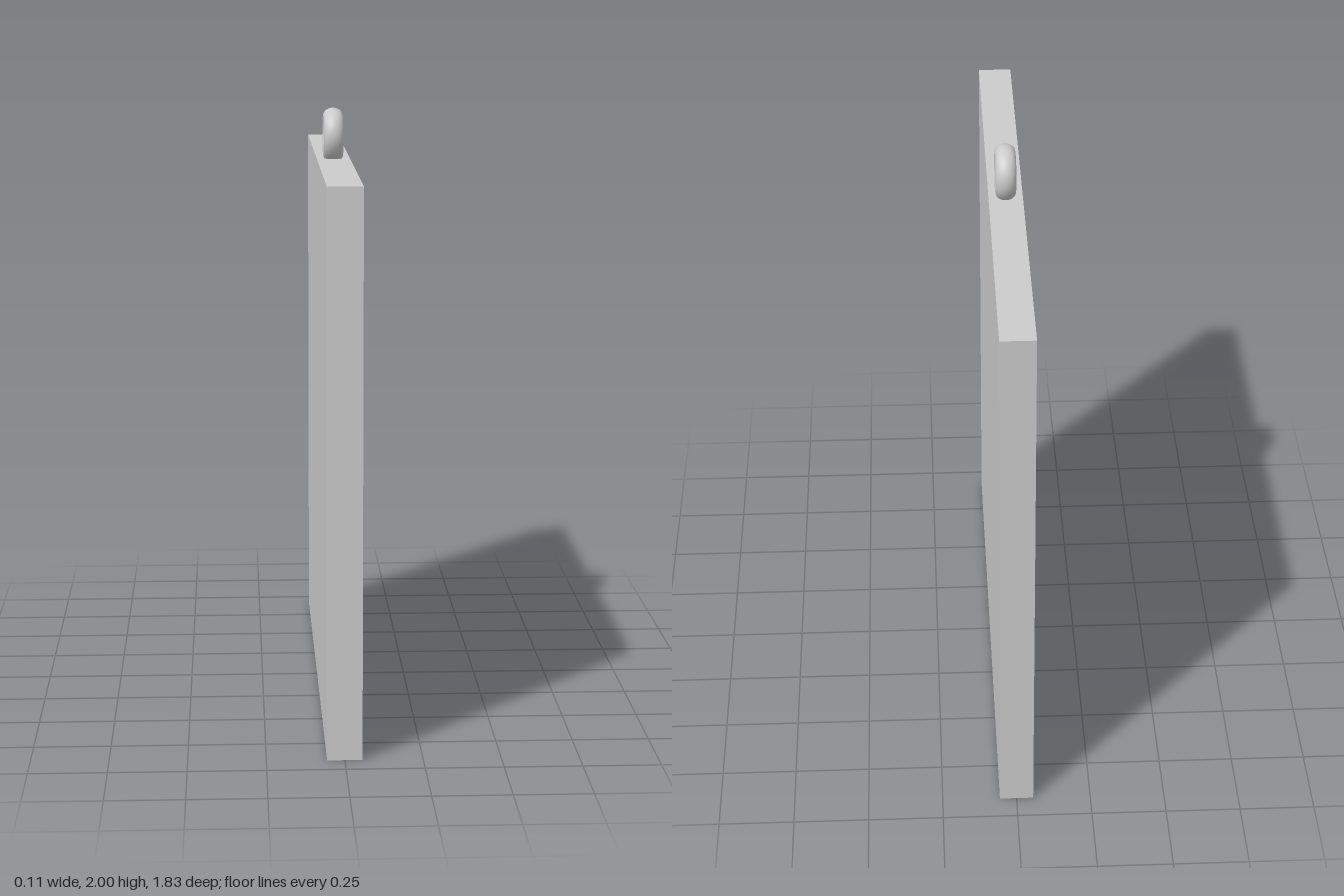
import * as THREE from 'three';

export function createModel() {
  const group = new THREE.Group();
  const material = new THREE.MeshStandardMaterial({ color: 0xcccccc });

  // Flat square slab, thin along x
  const thickness = 0.113, side = 1.83;
  const panel = new THREE.Mesh(new THREE.BoxGeometry(thickness, side, side), material);
  panel.name = 'panel';
  panel.position.y = side / 2;
  group.add(panel);

  // Hanging ring, slightly sunk into the top edge, its hole running along x
  const ringRadius = 0.066, tubeRadius = 0.027;
  const ringGeometry = new THREE.TorusGeometry(ringRadius, tubeRadius, 24, 64);
  ringGeometry.scale(1, 1, 1.25); // oval tube, wider along the hole
  ringGeometry.rotateY(Math.PI / 2);
  const ring = new THREE.Mesh(ringGeometry, material);
  ring.name = 'hangingRing';
  ring.position.y = 2 - ringRadius - tubeRadius;
  group.add(ring);

  return group;
}
